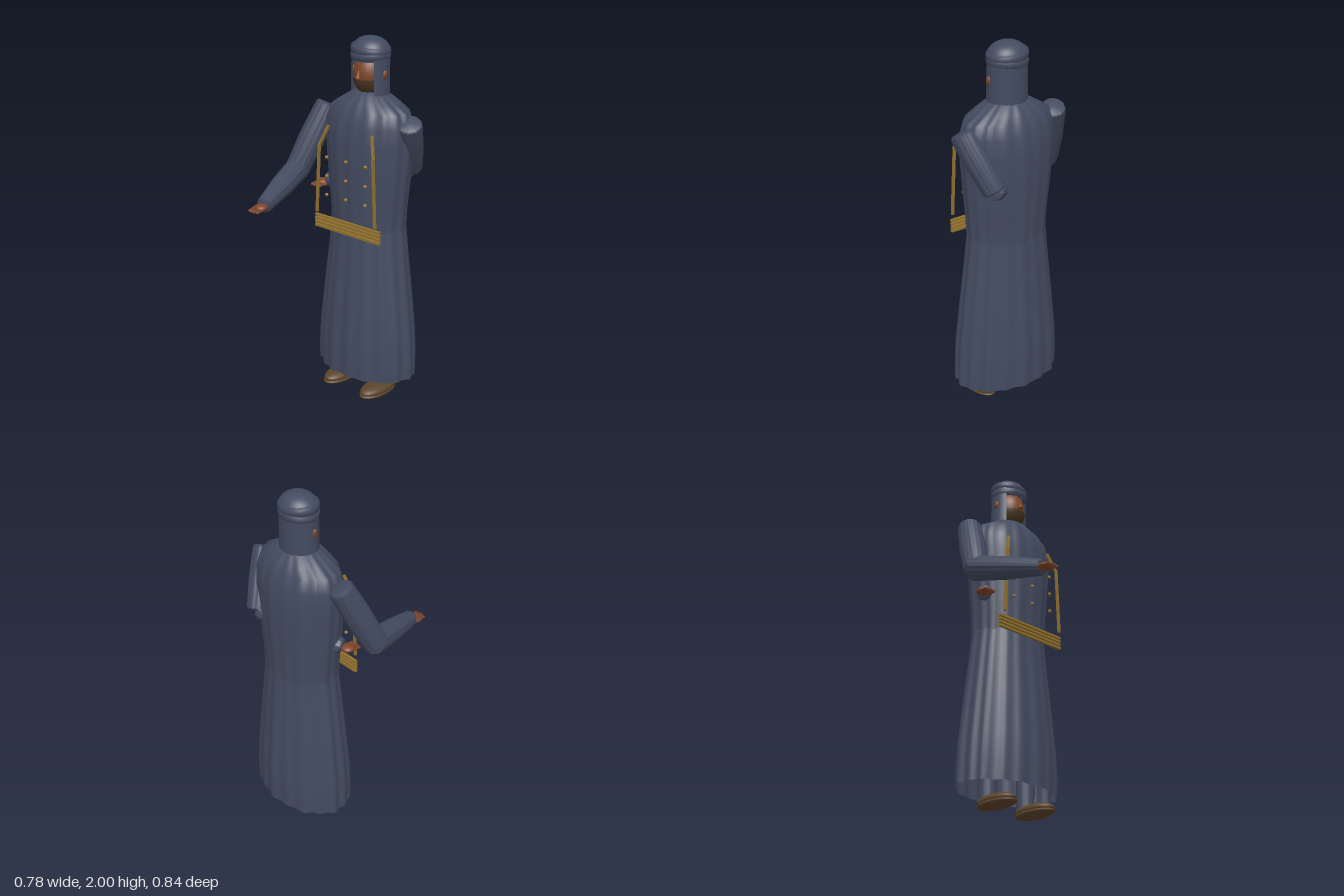
import * as THREE from 'three';

const mat = (name, color, side = THREE.FrontSide) => {
  const m = new THREE.MeshStandardMaterial({ color, side });
  m.name = name;
  return m;
};

export function createModel() {
  const cloth = mat('slate cloth', 0x434b60, THREE.DoubleSide);
  const skin = mat('brown skin', 0x7d4529);
  const hair = mat('dark beard', 0x4c3722);
  const leather = mat('brown leather', 0x5c442b);
  const gold = mat('gold trim', 0x92712f);
  const model = new THREE.Group();
  const CX = 0.06, CZ = -0.205;

  const add = (name, geo, material, pos = [0, 0, 0], scale = [1, 1, 1], parent = model) => {
    const m = new THREE.Mesh(geo, material);
    m.name = name;
    m.position.set(...pos);
    m.scale.set(...scale);
    parent.add(m);
    return m;
  };
  const ball = (w = 24, h = 16) => new THREE.SphereGeometry(1, w, h);

  // Pleated surface through elliptical sections [y, rx, rz, pleat depth]
  function pleated(rows, n = 96) {
    const p = [], idx = [];
    rows.forEach(([y, rx, rz, a], i) => {
      for (let j = 0; j < n; j++) {
        const t = (j / n) * Math.PI * 2;
        const f = 1 + a * (Math.cos(17 * t) + 0.6 * Math.cos(9 * t + 1));
        p.push(rx * f * Math.cos(t), y, rz * f * Math.sin(t));
        if (i) {
          const k = (j + 1) % n, lo = (i - 1) * n, hi = i * n;
          idx.push(lo + j, hi + j, lo + k, hi + j, hi + k, lo + k);
        }
      }
    });
    const g = new THREE.BufferGeometry();
    g.setAttribute('position', new THREE.Float32BufferAttribute(p, 3));
    g.setIndex(idx);
    g.computeVertexNormals();
    return g;
  }

  // Robe: skirt and tunic
  add('skirt', pleated([
    [0.12, 0.3, 0.208, 0.025], [0.22, 0.3, 0.21, 0.025], [0.36, 0.292, 0.209, 0.023],
    [0.6, 0.266, 0.192, 0.02], [0.82, 0.24, 0.175, 0.018], [1.0, 0.221, 0.163, 0.015],
  ]), cloth, [CX, 0, CZ]);
  add('tunic', pleated([
    [0.96, 0.222, 0.165, 0.02], [1.08, 0.228, 0.169, 0.016], [1.25, 0.245, 0.18, 0.014],
    [1.45, 0.262, 0.184, 0.014], [1.55, 0.26, 0.174, 0.016], [1.62, 0.238, 0.152, 0.02],
    [1.66, 0.175, 0.125, 0.02], [1.7, 0.11, 0.092, 0.012], [1.715, 0.07, 0.06, 0],
  ]), cloth, [CX, 0, CZ]);

  // Tapered sleeve from a to b, gently pleated
  function sleeve(name, a, b, ra, rb) {
    const A = new THREE.Vector3(...a), B = new THREE.Vector3(...b);
    const d = B.clone().sub(A), L = d.length();
    const rm = (ra + rb) / 2 + 0.006, q = 0.03;
    const m = add(name, pleated([
      [0, 0.001, 0.001, 0], [0.001, ra * 0.88, ra * 0.88, q], [0.015, ra, ra, q],
      [L / 2, rm, rm, q], [L - 0.012, rb, rb, q],
      [L - 0.001, rb * 0.9, rb * 0.9, q], [L, 0.001, 0.001, 0],
    ], 48), cloth, a);
    m.quaternion.setFromUnitVectors(new THREE.Vector3(0, 1, 0), d.normalize());
  }
  sleeve('rightUpperArm', [-0.238, 1.59, -0.205], [-0.325, 1.225, -0.04], 0.064, 0.066);
  sleeve('rightForearm', [-0.33, 1.245, -0.07], [-0.205, 1.145, 0.335], 0.066, 0.043);
  sleeve('leftUpperArm', [0.33, 1.58, -0.2], [0.235, 1.29, -0.345], 0.066, 0.06);
  sleeve('leftForearm', [0.24, 1.3, -0.335], [-0.185, 1.18, -0.14], 0.058, 0.042);

  // Hands with fingers reaching forward
  function hand(name, x, y, z, side) {
    const h = new THREE.Group();
    h.name = name;
    h.position.set(x, y, z);
    model.add(h);
    add('palm', ball(), skin, [0, 0, 0], [0.038, 0.02, 0.038], h);
    for (let i = 0; i < 4; i++) {
      const f = add('finger', new THREE.CapsuleGeometry(0.0075, 0.05, 4, 8), skin,
        [-0.028 + i * 0.019, -0.006, i % 3 ? 0.036 : 0.032], [1, 1, 1], h);
      f.rotation.x = Math.PI / 2 + 0.12;
    }
    const t = add('thumb', new THREE.CapsuleGeometry(0.009, 0.032, 4, 8), skin,
      [side * 0.036, -0.006, 0.006], [1, 1, 1], h);
    t.rotation.x = Math.PI / 2;
  }
  hand('rightHand', -0.205, 1.142, 0.353, -1);
  hand('leftHand', -0.203, 1.172, -0.12, 1);

  // Head, beard, nose and ears
  add('face', ball(32, 24), skin, [CX, 1.805, -0.2], [0.086, 0.115, 0.09]);
  add('beard', new THREE.SphereGeometry(1, 32, 12, 0, Math.PI * 2, Math.PI * 0.56, Math.PI * 0.44),
    hair, [CX, 1.805, -0.2], [0.091, 0.118, 0.094]);
  const nose = add('nose', new THREE.ConeGeometry(0.014, 0.05, 12), skin, [CX, 1.815, -0.11]);
  nose.rotation.x = -0.25;
  for (const s of [-1, 1]) {
    add('ear', ball(16, 12), skin, [CX + s * 0.106, 1.81, -0.195], [0.01, 0.024, 0.016]);
  }

  // Head cloth: open-fronted drape, brow band, wraps and crown
  add('headDrape', new THREE.CylinderGeometry(0.106, 0.108, 0.235, 48, 4, true, 0.82, Math.PI * 2 - 1.64),
    cloth, [CX, 1.8, CZ], [1, 1, 0.88]);
  add('browBand', new THREE.CylinderGeometry(0.105, 0.103, 0.06, 48, 1, true),
    cloth, [CX, 1.905, CZ], [1, 1, 0.9]);
  add('crown', new THREE.SphereGeometry(1, 40, 16, 0, Math.PI * 2, 0, Math.PI / 2),
    cloth, [CX, 1.925, CZ], [0.106, 0.075, 0.096]);
  [[1.9, 0.08], [1.93, -0.08]].forEach(([y, tilt]) => {
    const g = new THREE.TorusGeometry(0.097, 0.014, 10, 48).rotateX(Math.PI / 2).scale(1, 1.7, 0.9);
    add('headWrap', g, cloth, [CX, y, CZ]).rotation.z = tilt;
  });

  // Belt strips
  for (let i = 0; i < 4; i++) {
    add('beltStrip', new THREE.BoxGeometry(0.455, 0.013, 0.016), gold, [0.058, 0.955 + i * 0.02, -0.026]);
  }
  // Bent chest straps
  const bar = (a, b) => {
    const A = new THREE.Vector3(...a), B = new THREE.Vector3(...b), d = B.clone().sub(A);
    const m = add('chestStrap', new THREE.BoxGeometry(0.014, d.length(), 0.012), gold,
      A.clone().add(B).multiplyScalar(0.5).toArray());
    m.quaternion.setFromUnitVectors(new THREE.Vector3(0, 1, 0), d.normalize());
  };
  for (const s of [-1, 1]) {
    bar([CX + s * 0.15, 1.525, -0.045], [CX + s * 0.19, 1.41, -0.01]);
    bar([CX + s * 0.187, 1.415, -0.01], [CX + s * 0.205, 1.04, -0.01]);
  }
  // Three rows of buttons
  for (const y of [1.15, 1.255, 1.36]) {
    for (const x of [-0.135, 0, 0.135]) {
      add('button', ball(12, 8), gold, [CX + x, y, -0.012], [0.01, 0.01, 0.01]);
    }
  }

  // Legs and shoes
  for (const x of [-0.075, 0.195]) {
    add('trouserLeg', new THREE.CylinderGeometry(0.06, 0.048, 0.6, 20), cloth, [x, 0.34, -0.205]);
    add('shoe', ball(), leather, [x, 0.04, -0.135], [0.066, 0.034, 0.13]);
    add('shoeHeel', ball(), leather, [x, 0.04, -0.2], [0.054, 0.036, 0.065]);
    add('sole', ball(), leather, [x, 0.022, -0.135], [0.068, 0.022, 0.134]);
  }
  return model;
}
